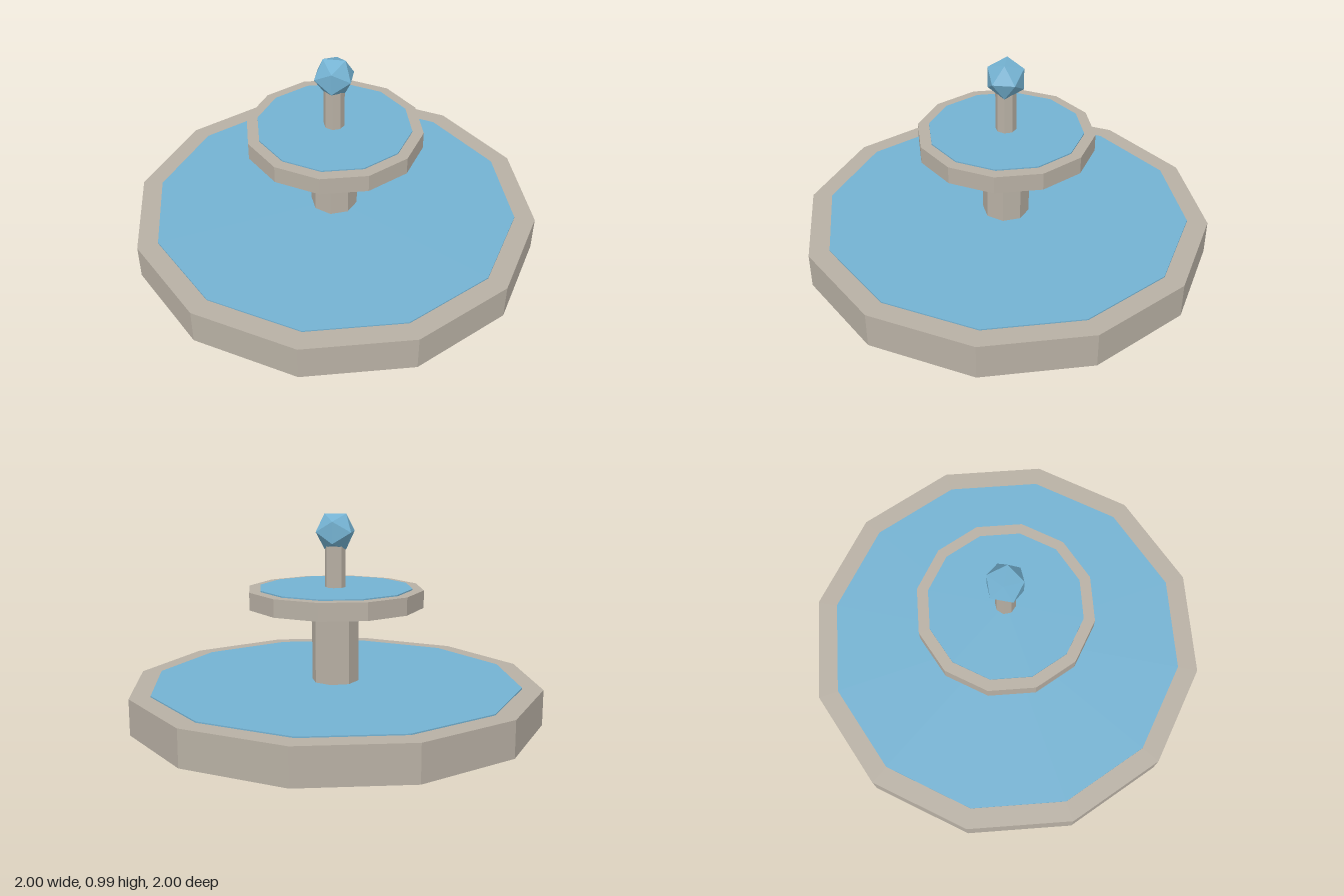
import * as THREE from 'three';

export function createModel() {
  const model = new THREE.Group();
  model.name = 'fountain';

  const stone = new THREE.MeshStandardMaterial({ color: 0xb8b0a4 });
  stone.name = 'stone';
  stone.flatShading = true;
  const water = new THREE.MeshStandardMaterial({ color: 0x74b2d2 });
  water.name = 'water';
  water.flatShading = true;

  // Upright prism from y = bottom to y = top
  function prism(name, radius, bottom, top, sides, material) {
    const geometry = new THREE.CylinderGeometry(radius, radius, top - bottom, sides);
    const mesh = new THREE.Mesh(geometry, material);
    mesh.name = name;
    mesh.position.y = (bottom + top) / 2;
    model.add(mesh);
  }

  // Lower basin and its pool, standing just proud of the rim
  prism('lowerBasin', 1, 0, 0.172, 12, stone);
  prism('lowerWater', 0.9, 0.17, 0.178, 12, water);

  // Column carrying the upper bowl
  prism('column', 0.115, 0.172, 0.548, 8, stone);
  prism('upperBasin', 0.427, 0.548, 0.632, 12, stone);
  prism('upperWater', 0.373, 0.63, 0.638, 12, water);

  // Spout topped by a faceted ball of water
  prism('spout', 0.05, 0.632, 0.85, 8, stone);
  const ball = new THREE.Mesh(new THREE.IcosahedronGeometry(0.1, 0), water);
  ball.name = 'waterBall';
  ball.position.y = 0.905;
  model.add(ball);

  return model;
}
